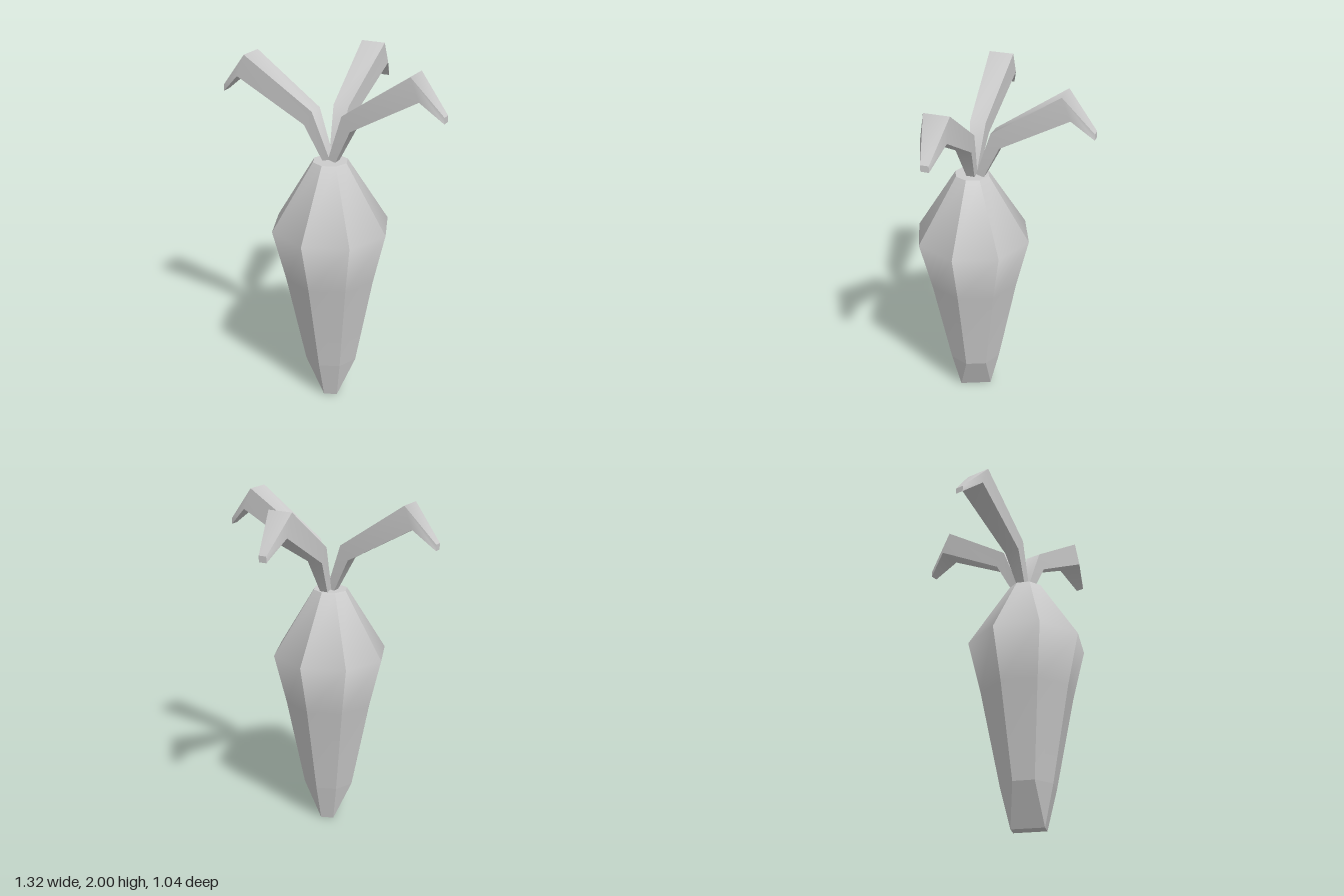
import * as THREE from 'three';
import { mergeGeometries } from 'three/addons/utils/BufferGeometryUtils.js';

const V = (x, y, z) => new THREE.Vector3(x, y, z);

function faceSet(points, index) {
  const g = new THREE.BufferGeometry().setFromPoints(points);
  g.setIndex(index);
  g.computeVertexNormals();
  return g;
}

// Skins rings of points; each side strip is smooth along its length and creased at its edges.
function loft(rings, capStart, capEnd) {
  const n = rings[0].length, parts = [];
  for (let j = 0; j < n; j++) {
    const points = [], index = [];
    rings.forEach((ring, i) => {
      points.push(ring[j], ring[(j + 1) % n]);
      if (i) {
        const a = 2 * i - 2;
        index.push(a, a + 1, a + 3, a, a + 3, a + 2);
      }
    });
    parts.push(faceSet(points, index));
  }
  const cap = (ring) => {
    const index = [];
    for (let j = 1; j < n - 1; j++) index.push(0, j, j + 1);
    parts.push(faceSet(ring, index));
  };
  if (capStart) cap([...rings[0]].reverse());
  if (capEnd) cap(rings[rings.length - 1]);
  return mergeGeometries(parts);
}

// Octagonal ring, starting at the front and turning towards +x
function octagon(r, y) {
  return Array.from({ length: 8 }, (_, k) => {
    const a = (k * Math.PI) / 4;
    return V(r * Math.sin(a), y, r * Math.cos(a));
  });
}

export function createModel() {
  const group = new THREE.Group();
  const material = new THREE.MeshStandardMaterial({ color: 0xcccccc });
  const add = (name, geometry, z) => {
    const mesh = new THREE.Mesh(geometry, material);
    mesh.name = name;
    mesh.position.z = z;
    group.add(mesh);
    return mesh;
  };

  // Tapered root body
  const low = octagon(0.157, 0.23);
  add('rootBody', loft([low, octagon(0.266, 0.77), octagon(0.34, 1.07), octagon(0.1, 1.455)], false, true), 0.18);

  // Root tip: the eight sides gather into a four-cornered foot
  const foot = octagon(0.1, 0);
  const tip = [0, 1, 1, 4, 4, 5, 5, 0].map((k) => foot[k]);
  add('rootTip', loft([tip, low], true, false), 0.18);

  // Bent leaf: [top x, top y, bottom x, bottom y, half width] from base to tip
  const stations = [
    [-0.005, 1.465, 0.04, 1.453, 0.024],
    [0.09, 1.73, 0.14, 1.65, 0.046],
    [0.49, 2.0, 0.54, 1.875, 0.072],
    [0.662, 1.8, 0.662, 1.765, 0.023],
  ];
  const leaf = loft(
    stations.map(([tx, ty, bx, by, w]) => [V(tx, ty, w), V(bx, by, w), V(bx, by, -w), V(tx, ty, -w)]),
    true, true
  );
  add('leftLeaf', leaf, 0.175);
  add('backLeaf', leaf, 0.143).rotation.y = Math.PI / 2;
  add('rightLeaf', leaf, 0.175).rotation.y = Math.PI;

  return group;
}
